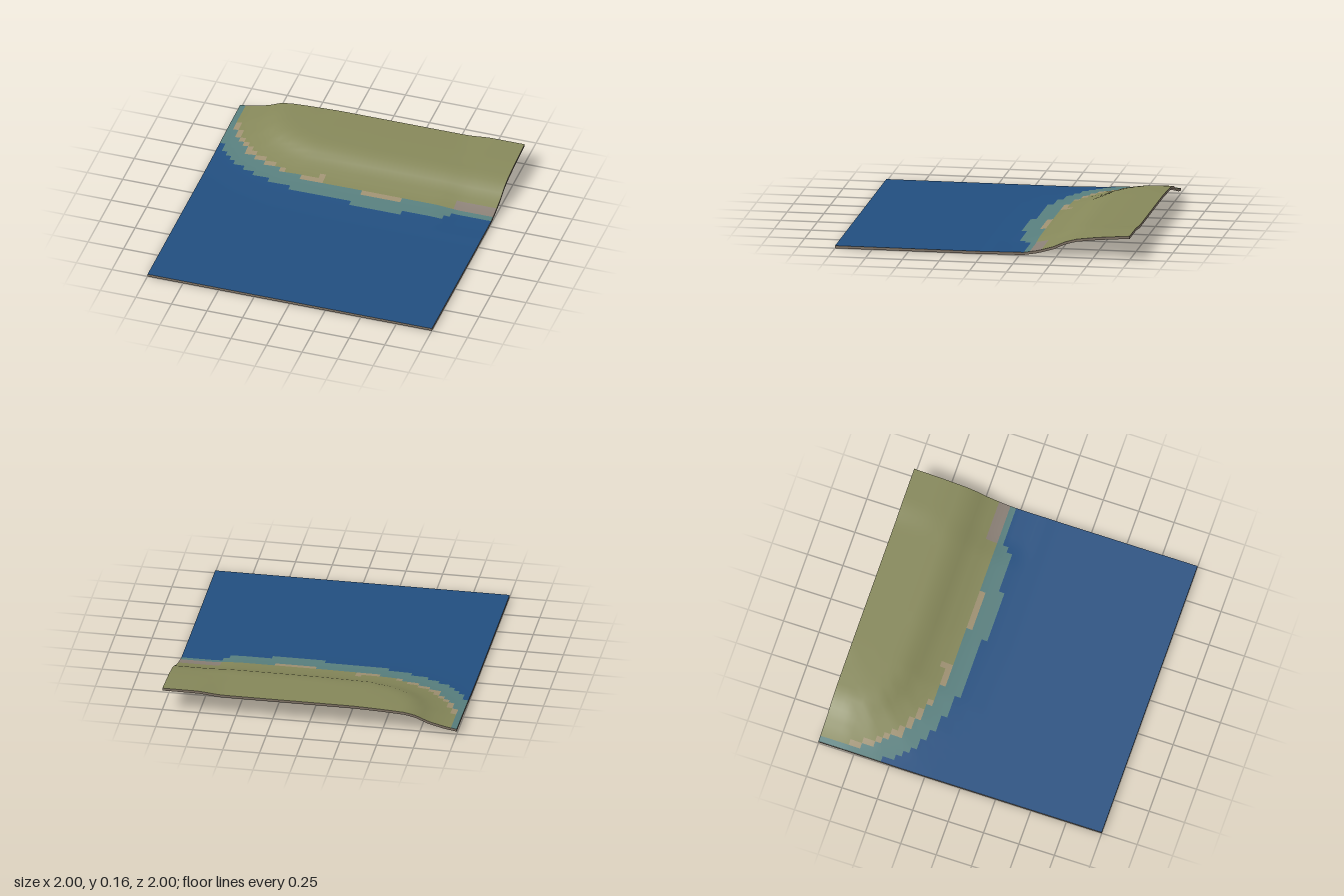
import * as THREE from 'three';

const N = 50, CELL = 2 / N, THICK = 0.018;

const material = (name, color) =>
  new THREE.MeshStandardMaterial({ name, color, side: THREE.DoubleSide });

// Piecewise linear lookup in a list of [input, output] points
function lookup(points, t) {
  if (t <= points[0][0]) return points[0][1];
  for (let i = 1; i < points.length; i++) {
    const [a, fa] = points[i - 1], [b, fb] = points[i];
    if (t <= b) return fa + (fb - fa) * (t - a) / (b - a);
  }
  return points[points.length - 1][1];
}

// Shoreline in plan (x, z) and ground height by distance inland from it
const shore = [[-0.97, -1.3], [-0.95, -0.82], [-0.88, -0.64], [-0.76, -0.5],
  [-0.6, -0.41], [-0.4, -0.35], [0, -0.33], [1.2, -0.33]];
const profile = [[-0.35, 0.018], [-0.2, 0.023], [-0.05, 0.036], [0.04, 0.05],
  [0.15, 0.078], [0.24, 0.116], [0.31, 0.131], [0.45, 0.139], [0.67, 0.147]];

function inland(x, z) {
  let best = Infinity;
  for (let i = 1; i < shore.length; i++) {
    const [ax, az] = shore[i - 1], [bx, bz] = shore[i];
    const dx = bx - ax, dz = bz - az;
    const t = THREE.MathUtils.clamp(((x - ax) * dx + (z - az) * dz) / (dx * dx + dz * dz), 0, 1);
    best = Math.min(best, Math.hypot(x - ax - t * dx, z - az - t * dz));
  }
  return z < lookup(shore, x) ? best : -best;
}

function height(x, z) {
  const d = inland(x, z);
  const east = THREE.MathUtils.smoothstep(x, 0.58, 0.78);
  // The east end has a lower shore and a higher back
  const dip = lookup([[-0.25, 0], [-0.05, -0.013], [0.06, -0.012], [0.3, -0.004], [0.45, 0.006], [0.67, 0.015]], d);
  return Math.max(THICK, lookup(profile, d) + dip * east);
}

// Runs of columns from the west: [columns, shallows end, land end, sand cells], in rows from the back
const columns = [[1, 11, 0, 0], [1, 13, 7, 2], [1, 14, 9, 2], [1, 15, 10, 1], [1, 16, 11, 1],
  [1, 16, 13, 2], [1, 17, 13, 1], [1, 17, 14, 1], [1, 18, 14, 1], [2, 18, 15, 1], [1, 19, 15, 0],
  [1, 19, 16, 1], [2, 19, 16, 0], [1, 20, 16, 0], [3, 20, 17, 1], [1, 20, 17, 2], [6, 20, 17, 0],
  [1, 21, 17, 0], [7, 21, 18, 1], [1, 21, 17, 0], [7, 20, 17, 0], [1, 19, 17, 0], [7, 18, 17, 2]];

export function createModel() {
  const model = new THREE.Group();
  model.name = 'coastTile';

  const mats = {
    deepWater: material('deep water blue', 0x224f80),
    shallows: material('shallow water teal', 0x587f7e),
    beach: material('sand', 0x9f9172),
    grassland: material('olive grass', 0x86885a),
    rockShore: material('grey rock', 0x8b8076),
    rim: material('earth rim', 0x85786a),
  };

  // Ground sheet: one height field shared by all the ground parts
  const sheet = new THREE.PlaneGeometry(2, 2, N, N).rotateX(-Math.PI / 2);
  const pos = sheet.attributes.position;
  for (let i = 0; i < pos.count; i++) pos.setY(i, height(pos.getX(i), pos.getZ(i)));
  sheet.computeVertexNormals();

  // Sort the cells into the ground parts
  const cells = { deepWater: [], shallows: [], beach: [], grassland: [], rockShore: [] };
  let col = 0;
  for (const [count, shallowEnd, landEnd, sand] of columns) {
    for (let k = 0; k < count; k++, col++) {
      for (let row = 0; row < N; row++) {
        let part = 'deepWater';
        if (row < landEnd - sand) part = 'grassland';
        else if (row < landEnd) part = col >= 43 ? 'rockShore' : 'beach';
        else if (row < shallowEnd) part = 'shallows';
        const a = row * (N + 1) + col, b = a + N + 1;
        cells[part].push(a, b, a + 1, b, b + 1, a + 1);
      }
    }
  }
  for (const [name, index] of Object.entries(cells)) {
    const geometry = new THREE.BufferGeometry();
    geometry.setAttribute('position', pos);
    geometry.setAttribute('normal', sheet.attributes.normal);
    geometry.setIndex(index);
    const mesh = new THREE.Mesh(geometry, mats[name]);
    mesh.name = name;
    model.add(mesh);
  }

  // Rim: a thin skirt hanging from each edge of the sheet
  const edges = {
    frontRim: t => [t, 1], leftRim: t => [1, -t],
    backRim: t => [-t, -1], rightRim: t => [-1, t],
  };
  for (const [name, at] of Object.entries(edges)) {
    const skirt = new THREE.PlaneGeometry(2, 1, N, 1);
    const p = skirt.attributes.position;
    for (let i = 0; i < p.count; i++) {
      const [x, z] = at(-1 + (i % (N + 1)) * CELL);
      p.setXYZ(i, x, height(x, z) - (i > N ? THICK : 0), z);
    }
    skirt.computeVertexNormals();
    const mesh = new THREE.Mesh(skirt, mats.rim);
    mesh.name = name;
    model.add(mesh);
  }
  return model;
}
